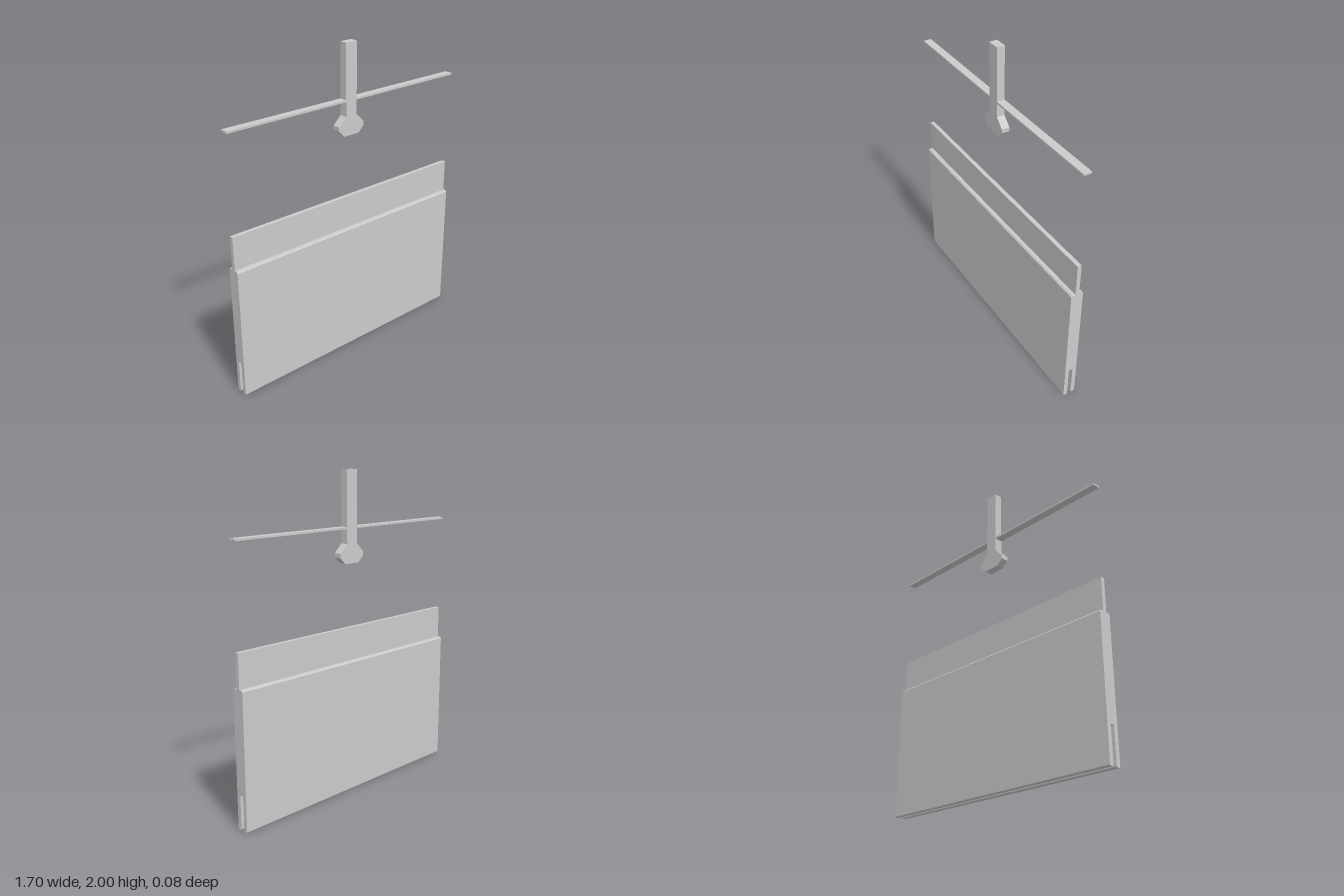
import * as THREE from 'three';

const material = new THREE.MeshStandardMaterial({ color: 0xcccccc, flatShading: true });

// Prism from half an outline (x >= 0, bottom to top), mirrored and centred in depth
function mirroredPrism(name, half, depth) {
  const outline = [...half, ...half.map(([x, y]) => [-x, y]).reverse()];
  const shape = new THREE.Shape(outline.map(([x, y]) => new THREE.Vector2(x, y)));
  const geometry = new THREE.ExtrudeGeometry(shape, { depth, bevelEnabled: false });
  geometry.translate(0, 0, -depth / 2);
  const mesh = new THREE.Mesh(geometry, material);
  mesh.name = name;
  return mesh;
}

export function createModel() {
  const group = new THREE.Group();
  group.name = 'tongueAndGroovePanel';
  const width = 1.7;

  // Panel: grooved bottom, chamfered shoulders and a tongue on top
  const panel = mirroredPrism('panel', [
    [0.013, 0.215], [0.013, 0.005], [0.017, 0], [0.036, 0], [0.04, 0.005],
    [0.04, 0.838], [0.032, 0.847], [0.013, 0.847], [0.013, 1.054],
  ], width);
  panel.rotation.y = Math.PI / 2;
  group.add(panel);

  // Upright stem with a flared hexagonal foot, floating above the panel
  const stemHalfWidth = 0.04, stemDepth = 0.05;
  group.add(mirroredPrism('stem', [
    [0.055, 1.45], [0.094, 1.488], [0.094, 1.515], [stemHalfWidth, 1.568], [stemHalfWidth, 2],
  ], stemDepth));

  // Thin flat strips reaching out from both sides of the stem
  const length = width / 2 - stemHalfWidth;
  for (const side of [1, -1]) {
    const strip = new THREE.Mesh(new THREE.BoxGeometry(length, 0.012, stemDepth), material);
    strip.name = side > 0 ? 'leftStrip' : 'rightStrip';
    strip.position.set(side * (stemHalfWidth + length / 2), 1.662, 0);
    group.add(strip);
  }
  return group;
}
